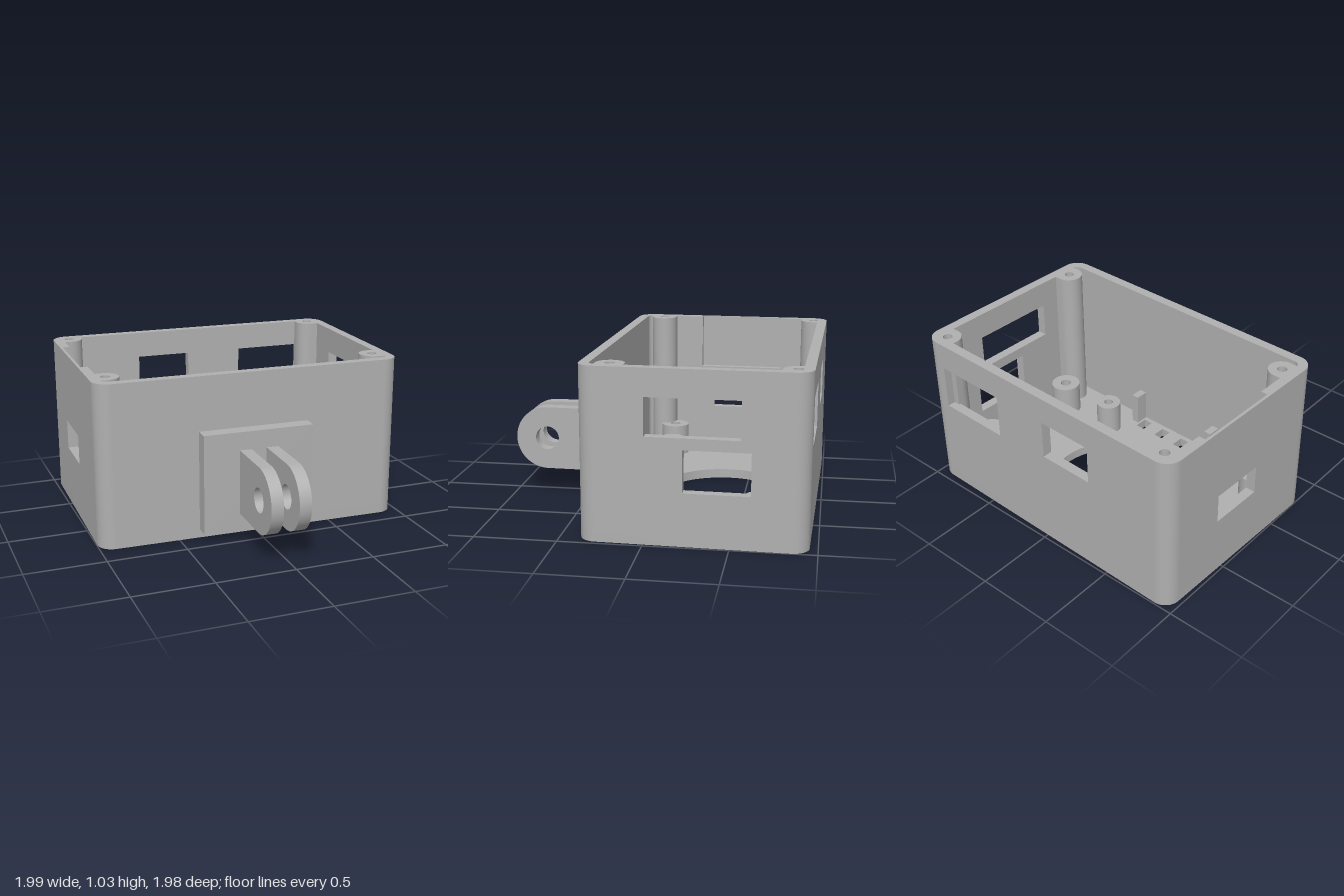
import * as THREE from 'three';
import { toCreasedNormals } from 'three/addons/utils/BufferGeometryUtils.js';

// Half width, half depth, height, corner radius, wall and floor thickness
const W = 0.985, D = 0.666, H = 1.035, R = 0.1, T = 0.062, FLOOR = 0.06;

function polygon(points) {
  return new THREE.Shape(points.map(([x, y]) => new THREE.Vector2(x, y)));
}

function rect(x0, x1, y0, y1) {
  return polygon([[x0, y0], [x1, y0], [x1, y1], [x0, y1]]);
}

function circle(x, y, r) {
  const s = new THREE.Shape();
  s.absarc(x, y, r, 0, Math.PI * 2, false);
  return s;
}

function roundedRect(w, d, r) {
  const s = new THREE.Shape();
  s.absarc(w - r, d - r, r, 0, Math.PI / 2, false);
  s.absarc(-w + r, d - r, r, Math.PI / 2, Math.PI, false);
  s.absarc(-w + r, -d + r, r, Math.PI, Math.PI * 1.5, false);
  s.absarc(w - r, -d + r, r, Math.PI * 1.5, Math.PI * 2, false);
  return s;
}

function extrude(shape, depth, holes = []) {
  shape.holes.push(...holes);
  return new THREE.ExtrudeGeometry(shape, { depth, bevelEnabled: false, curveSegments: 24 });
}

export function createModel() {
  const model = new THREE.Group();
  const caseBody = new THREE.Group();
  caseBody.name = 'cameraCase';
  model.add(caseBody);
  const grey = new THREE.MeshStandardMaterial({ color: 0xb0b0b0 });
  grey.name = 'grey plastic';

  function add(name, geometry) {
    const mesh = new THREE.Mesh(toCreasedNormals(geometry, 0.5), grey);
    mesh.name = name;
    caseBody.add(mesh);
  }
  // Plan shape (x, z) raised from y0 to y1
  function plan(name, shape, y0, y1, holes) {
    add(name, extrude(shape, y1 - y0, holes).rotateX(Math.PI / 2).translate(0, y1, 0));
  }
  // Front shape (x, y) from z0 to z1
  function front(name, shape, z0, z1, holes) {
    add(name, extrude(shape, z1 - z0, holes).translate(0, 0, z0));
  }
  // Side shape (-z, y) from x0 to x1
  function side(name, shape, x0, x1, holes) {
    add(name, extrude(shape, x1 - x0, holes).rotateY(Math.PI / 2).translate(x0, 0, 0));
  }

  // Floor with fan opening, counterbored screw holes and strap slots
  const screws = [[-0.797, -0.378], [0.797, -0.378], [-0.797, 0.392], [0.797, 0.323]];
  const slots = [-0.25, -0.083, 0.083, 0.247];
  plan('floor', roundedRect(W, D, R), 0, FLOOR, [
    circle(0, -0.063, 0.4),
    ...screws.map(([x, z]) => circle(x, z, 0.053)),
    ...slots.map((x) => rect(x - 0.032, x + 0.032, 0.487, 0.573)),
  ]);

  // Standoffs on the floor
  for (const [x, z] of screws) {
    plan('screwStandoff', circle(x, z, 0.095), FLOOR, 0.27, [circle(x, z, 0.035)]);
  }
  for (const x of [-0.413, 0.413]) {
    for (const z of [-0.475, 0.35]) {
      plan('fanStandoff', circle(x, z, 0.08), FLOOR, 0.27, [circle(x, z, 0.03)]);
    }
  }

  // Front and back walls
  const w = W - R, d = D - R;
  front('frontWall', rect(-w, w, FLOOR, H), D - T, D);
  front('backWall', rect(-w, w, FLOOR, H), -D, -D + T, [
    rect(0.355, 0.835, 0.585, 0.865),
    rect(-0.385, -0.025, 0.62, 0.865),
  ]);

  // Right wall with two ports
  side('rightWall', rect(-d, d, FLOOR, H), W - T, W, [
    rect(-0.274, 0.276, 0.64, 0.868),
    rect(-0.054, 0.336, 0.32, 0.572),
  ]);

  // Left wall: thin outer skin, inner layer notched from the top
  const leftPort = () => rect(-0.13, 0.225, 0.38, 0.57);
  side('leftWallSkin', rect(-d, d, FLOOR, H), -W, -W + 0.018, [leftPort()]);
  side('leftWallInner', polygon([
    [-d, FLOOR], [d, FLOOR], [d, H], [0.345, H], [0.345, 0.675],
    [-0.215, 0.675], [-0.215, H], [-d, H],
  ]), -W + 0.018, -W + T, [leftPort()]);

  // Rounded wall corners
  for (const [sx, sz, a] of [[1, 1, 0], [-1, 1, 0.5], [-1, -1, 1], [1, -1, 1.5]]) {
    const s = new THREE.Shape();
    const a0 = a * Math.PI, a1 = a0 + Math.PI / 2;
    s.absarc(sx * w, sz * d, R, a0, a1, false);
    s.absarc(sx * w, sz * d, R - T, a1, a0, true);
    plan('wallCorner', s, FLOOR, H);
  }

  // Lid screw posts: half-round columns joined to the side walls
  function postShape(sx, z, isBack) {
    const x = 0.878, r = 0.085, points = [];
    const end = isBack ? 180 : 270;
    points.push([x + 0.06, z + r]);
    for (let a = 90; a <= end; a += 9) {
      const t = THREE.MathUtils.degToRad(a);
      points.push([x + r * Math.cos(t), z + r * Math.sin(t)]);
    }
    if (isBack) points.push([x - r, z - 0.04], [x + 0.02, z - 0.04], [x + 0.06, z]);
    else points.push([x + 0.06, z - r]);
    return polygon(points.map(([px, pz]) => [sx * px, pz]));
  }
  for (const sx of [-1, 1]) {
    for (const [z, isBack] of [[-0.576, true], [0.485, false]]) {
      plan('lidPost', postShape(sx, z, isBack), FLOOR, 0.7);
      plan('lidPostTop', postShape(sx, z, isBack), 0.7, H, [circle(sx * 0.878, z, 0.03)]);
    }
  }

  // Small ribs beside the strap slots
  for (const x of [-0.318, 0.318]) {
    plan('slotRib', rect(x - 0.025, x + 0.025, 0.518, D - T), FLOOR, 0.27);
  }

  // Mounting plate and two-pronged hinge
  front('mountPlate', rect(-0.355, 0.355, 0.055, 0.69), D, 0.76);
  for (const x0 of [-0.126, 0.048]) {
    const s = new THREE.Shape();
    s.moveTo(-0.76, 0.165);
    s.lineTo(-0.76, 0.575);
    s.lineTo(-1.085, 0.575);
    s.absarc(-1.085, 0.37, 0.205, Math.PI / 2, Math.PI * 1.5, false);
    side('hingeProng', s, x0, x0 + 0.077, [circle(-1.085, 0.37, 0.077)]);
  }

  // The whole case sits slightly turned
  caseBody.position.z = -0.305;
  caseBody.rotation.y = -0.0217;
  return model;
}
